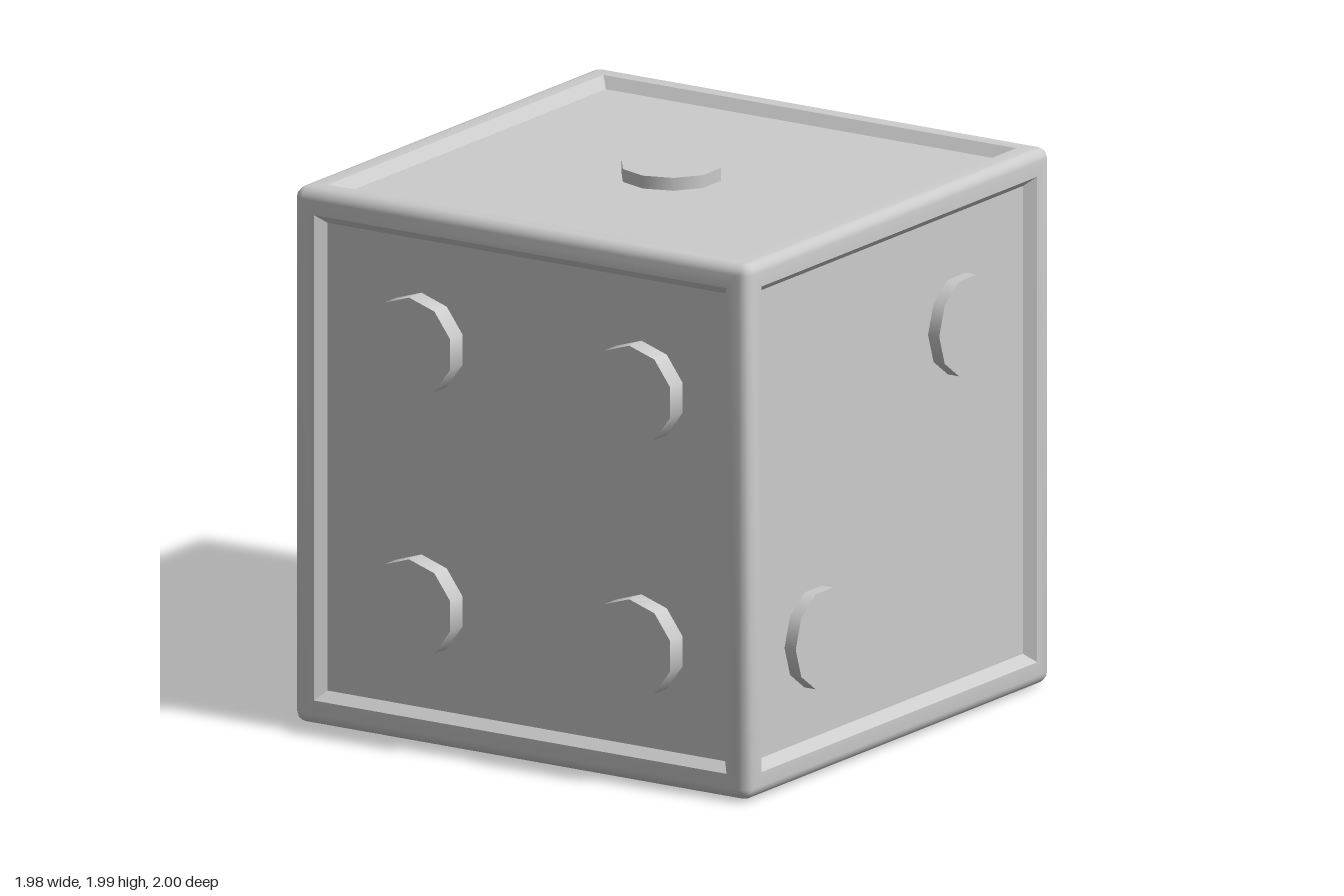
import * as THREE from 'three';
import { toCreasedNormals } from 'three/addons/utils/BufferGeometryUtils.js';

const grey = new THREE.MeshStandardMaterial({ color: 0xcccccc });
const ROUND = 0.04;      // edge rounding
const PANEL = 0.874;     // half-width of the sunken panel
const RIM = 0.907;       // half-width of the inner edge of the rim
const DEPTH = 0.041;     // depth of the sunken panel

// Pushes a point on the unit cube onto the rounded cube
function roundOff(p) {
  const k = 1 - ROUND;
  const inner = p.clone().clampScalar(-k, k);
  return p.clone().sub(inner).setLength(ROUND).add(inner);
}

// One cube side facing +y: panel, sloped wall, flat rim and rounded edge as square rings
function sideTriangles() {
  const k = 1 - ROUND;
  const rings = [PANEL, RIM, k, 1 - ROUND * 0.59, 1].map((s) => {
    const m = Math.min(s, k);
    const ring = [];
    for (let i = 0; i < 4; i++) {
      for (const [x, z] of [[s, -m], [s, m], [s, s]]) {
        const p = new THREE.Vector3(x, 1, z);
        if (s === PANEL) p.y -= DEPTH;
        else if (s > k) p.copy(roundOff(p));
        ring.push(p.applyAxisAngle(new THREE.Vector3(0, 1, 0), -i * Math.PI / 2));
      }
    }
    return ring;
  });
  const tris = [];
  const add = (a, b, c) => {
    const n = b.clone().sub(a).cross(c.clone().sub(a));
    if (n.length() > 1e-9) tris.push(a, b, c);
  };
  // Panel
  const r0 = rings[0];
  add(r0[1], r0[10], r0[7]);
  add(r0[1], r0[7], r0[4]);
  // Strips between neighbouring rings
  for (let j = 0; j < rings.length - 1; j++) {
    for (let i = 0; i < 12; i++) {
      const n = (i + 1) % 12;
      const a = rings[j][i], b = rings[j][n], c = rings[j + 1][n], d = rings[j + 1][i];
      add(a, b, c);
      add(a, c, d);
    }
  }
  // Make every triangle face outward
  for (let i = 0; i < tris.length; i += 3) {
    const [a, b, c] = tris.slice(i, i + 3);
    const n = b.clone().sub(a).cross(c.clone().sub(a));
    if (n.y < 0) { tris[i + 1] = c; tris[i + 2] = b; }
  }
  return tris;
}

function bodyGeometry() {
  const h = Math.PI / 2;
  const turns = [[0, 0, 0], [Math.PI, 0, 0], [h, 0, 0], [-h, 0, 0], [0, 0, h], [0, 0, -h]];
  const points = [];
  for (const t of turns) {
    const e = new THREE.Euler(...t);
    for (const p of sideTriangles()) points.push(p.clone().applyEuler(e));
  }
  const g = new THREE.BufferGeometry().setFromPoints(points);
  g.scale(0.974, 0.9885, 0.9735);
  g.translate(0.004, 0.9965, -0.013);
  return toCreasedNormals(g, 0.7);
}

// Pips per side: axis, outer position, outward sign, and centres on the other two axes
const sides = [
  { name: 'top', axis: 'y', at: 1.992, sign: 1, spots: [[0, -0.015]] },
  { name: 'bottom', axis: 'y', at: 0, sign: -1,
    spots: [-0.46, 0.5].flatMap((x) => [-0.53, -0.01, 0.51].map((z) => [x, z])) },
  { name: 'front', axis: 'z', at: 1, sign: 1,
    spots: [[-0.445, 1.48], [0.497, 1.447], [-0.445, 0.513], [0.497, 0.51]] },
  { name: 'back', axis: 'z', at: -1, sign: -1,
    spots: [[-0.445, 1.48], [-0.008, 1.02], [0.497, 0.512]] },
  { name: 'left', axis: 'x', at: 0.986, sign: 1, spots: [[1.45, -0.44], [0.505, 0.48]] },
  { name: 'right', axis: 'x', at: -0.99, sign: -1,
    spots: [[1.51, -0.505], [1.51, 0.505], [0.96, 0.005], [0.45, -0.505], [0.45, 0.505]] },
];

export function createModel() {
  const model = new THREE.Group();
  model.name = 'die';

  const body = new THREE.Mesh(bodyGeometry(), grey);
  body.name = 'body';
  model.add(body);

  // Raised ten-sided pips
  const height = 0.12;
  const pip = new THREE.CylinderGeometry(0.184, 0.184, height, 10);
  for (const { name, axis, at, sign, spots } of sides) {
    const group = new THREE.Group();
    group.name = name + 'Pips';
    const c = at - sign * height / 2;
    for (const [u, v] of spots) {
      const mesh = new THREE.Mesh(pip, grey);
      mesh.name = 'pip';
      if (axis === 'y') mesh.position.set(u, c, v);
      if (axis === 'z') { mesh.position.set(u, v, c); mesh.rotation.x = Math.PI / 2; }
      if (axis === 'x') { mesh.position.set(c, u, v); mesh.rotation.z = Math.PI / 2; }
      group.add(mesh);
    }
    model.add(group);
  }
  return model;
}
